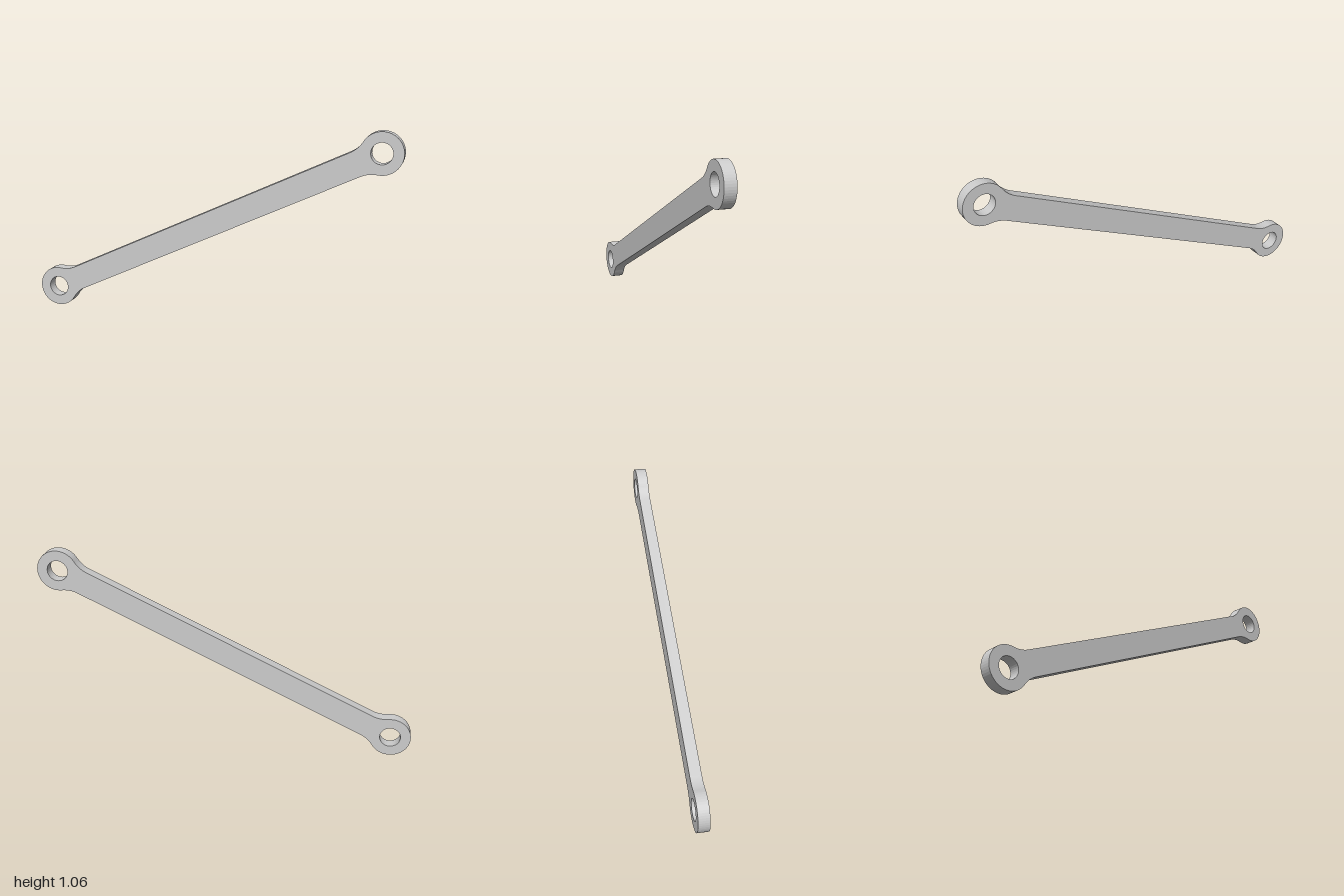
import * as THREE from 'three';

const HALF = 0.986;      // link centre to eye centre
const EYE = 0.109;       // eye outer radius
const HOLE = 0.055;      // pin hole radius
const BAR = 0.0655;      // half width of the bar
const FILLET = 0.15;     // blend radius between bar and eye
const DEPTH = 0.06;
const TILT = Math.atan2(0.4225, 0.891);

function linkShape() {
  const shape = new THREE.Shape();
  const rise = BAR + FILLET;
  const back = Math.sqrt((EYE + FILLET) ** 2 - rise ** 2);
  const a = Math.atan2(rise, back);

  // Each end: fillet, eye, fillet; the second end is the first turned by 180 degrees
  for (const [s, turn] of [[1, 0], [-1, Math.PI]]) {
    const x = s * (HALF - back);
    shape.absarc(x, -s * rise, FILLET, Math.PI / 2 + turn, a + turn, true);
    shape.absarc(s * HALF, 0, EYE, a - Math.PI + turn, Math.PI - a + turn, false);
    shape.absarc(x, s * rise, FILLET, -a + turn, -Math.PI / 2 + turn, true);
  }
  shape.closePath();

  // Pin holes
  for (const s of [1, -1]) {
    shape.holes.push(new THREE.Path().absarc(s * HALF, 0, HOLE, 0, Math.PI * 2, true));
  }
  return shape;
}

export function createModel() {
  const group = new THREE.Group();
  group.name = 'connectingLink';

  // Flat bar with a pierced eye at each end
  const geometry = new THREE.ExtrudeGeometry(linkShape(), {
    depth: DEPTH, bevelEnabled: false, curveSegments: 18,
  });
  geometry.translate(0, 0, -DEPTH / 2);
  geometry.rotateZ(TILT);
  geometry.computeBoundingBox();
  geometry.translate(0, -geometry.boundingBox.min.y, 0);

  const link = new THREE.Mesh(geometry, new THREE.MeshStandardMaterial({ color: 0xcccccc, flatShading: true }));
  link.name = 'linkBar';
  group.add(link);
  return group;
}
